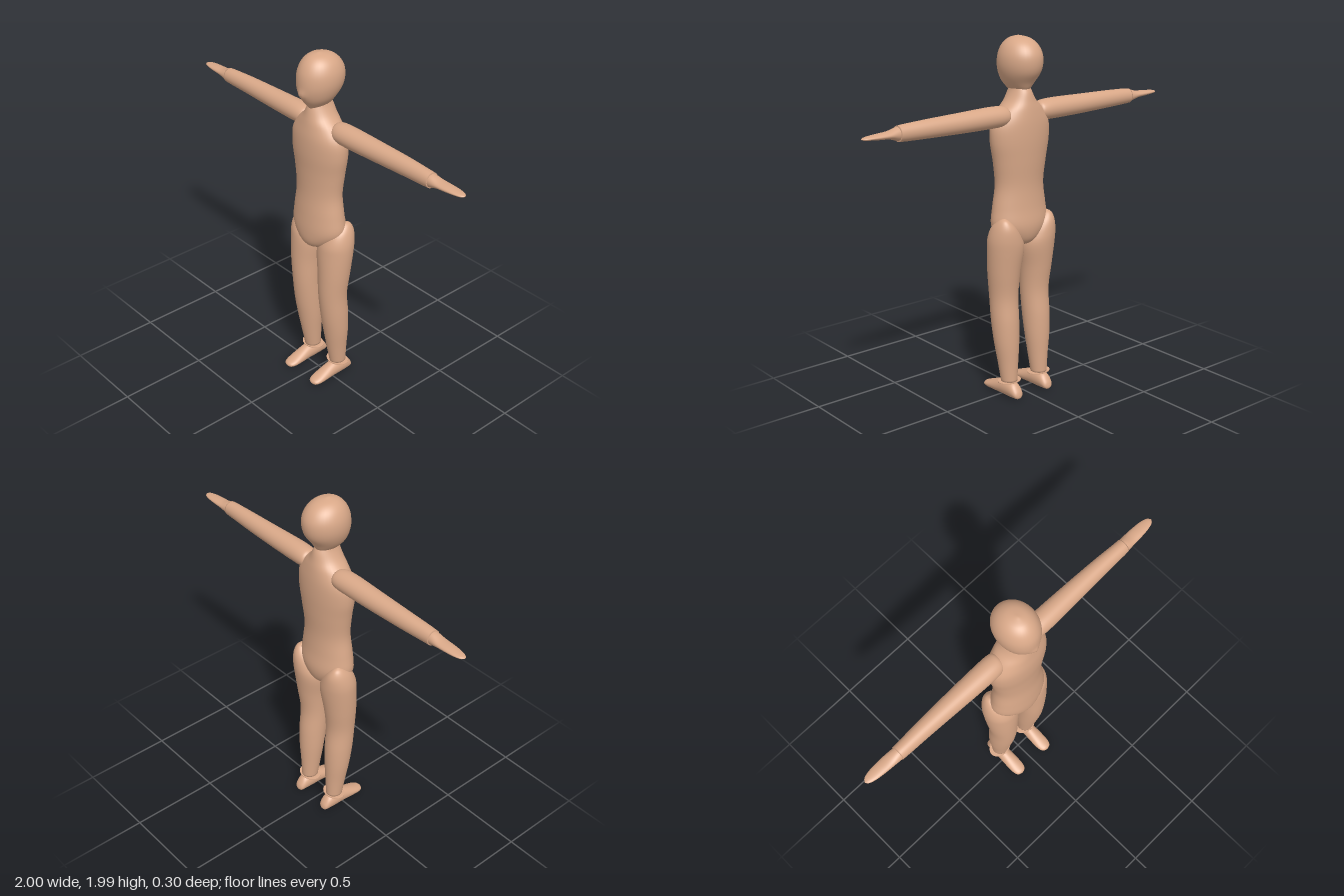
import * as THREE from 'three';

const SEGMENTS = 36, STEPS = 5;

// Catmull-Rom blend of one number
function blend(a, b, c, d, t) {
  return 0.5 * (2 * b + (c - a) * t + (2 * a - 5 * b + 4 * c - d) * t * t + (3 * b - a - 3 * c + d) * t * t * t);
}

// Smooth closed skin through elliptical sections.
// Section: [position on axis, uMin, uMax, vMin, vMax], positions ascending.
// Axis y: u = z, v = x.  Axis x: u = y, v = z.  Axis z: u = x, v = y.
function loft(sections, axis) {
  const place = {
    x: (t, u, v) => [t, u, v],
    y: (t, u, v) => [v, t, u],
    z: (t, u, v) => [u, v, t],
  }[axis];
  const at = (i) => sections[Math.max(0, Math.min(sections.length - 1, i))];
  const rings = [];
  for (let i = 0; i < sections.length - 1; i++) {
    for (let s = 0; s < STEPS; s++) {
      rings.push(at(i).map((n, k) => blend(at(i - 1)[k], n, at(i + 1)[k], at(i + 2)[k], s / STEPS)));
    }
  }
  rings.push(at(sections.length - 1));
  const pos = [], index = [];
  for (const [t, u0, u1, v0, v1] of rings) {
    for (let j = 0; j < SEGMENTS; j++) {
      const a = (j / SEGMENTS) * Math.PI * 2;
      pos.push(...place(t, (u0 + u1) / 2 + ((u1 - u0) / 2) * Math.cos(a), (v0 + v1) / 2 + ((v1 - v0) / 2) * Math.sin(a)));
    }
  }
  for (let i = 0; i < rings.length - 1; i++) {
    for (let j = 0; j < SEGMENTS; j++) {
      const k = (j + 1) % SEGMENTS;
      const a = i * SEGMENTS + j, b = i * SEGMENTS + k, c = b + SEGMENTS, d = a + SEGMENTS;
      index.push(a, b, c, a, c, d);
    }
  }
  // end caps
  [rings[0], rings[rings.length - 1]].forEach(([t, u0, u1, v0, v1], end) => {
    const centre = pos.length / 3;
    pos.push(...place(t, (u0 + u1) / 2, (v0 + v1) / 2));
    const start = end ? (rings.length - 1) * SEGMENTS : 0;
    for (let j = 0; j < SEGMENTS; j++) {
      const a = start + j, b = start + ((j + 1) % SEGMENTS);
      index.push(centre, end ? a : b, end ? b : a);
    }
  });
  const geo = new THREE.BufferGeometry();
  geo.setAttribute('position', new THREE.Float32BufferAttribute(pos, 3));
  geo.setIndex(index);
  geo.computeVertexNormals();
  return geo;
}

// Copy a geometry to the other side, keeping faces outward
function mirrored(source) {
  const geo = source.clone();
  geo.scale(-1, 1, 1);
  const ix = geo.index.array;
  for (let i = 0; i < ix.length; i += 3) [ix[i], ix[i + 1]] = [ix[i + 1], ix[i]];
  geo.computeVertexNormals();
  return geo;
}

export function createModel() {
  const group = new THREE.Group();
  const skin = new THREE.MeshStandardMaterial({ color: 0xd9a888 });
  skin.name = 'skin';

  const add = (name, geo) => {
    const mesh = new THREE.Mesh(geo, skin);
    mesh.name = name;
    group.add(mesh);
  };
  const addPair = (name, geo) => {
    add('left' + name, geo);
    add('right' + name, mirrored(geo));
  };

  // Symmetric section: height, back, front, half width
  const sym = (list) => list.map(([y, back, front, w]) => [y, back, front, -w, w]);

  // Torso with neck
  add('torso', loft(sym([
    [0.86, -0.03, 0.03, 0.01],
    [0.872, -0.075, 0.072, 0.065],
    [0.91, -0.105, 0.097, 0.125],
    [0.98, -0.118, 0.103, 0.175],
    [1.08, -0.108, 0.098, 0.166],
    [1.2, -0.103, 0.09, 0.15],
    [1.33, -0.112, 0.092, 0.165],
    [1.44, -0.118, 0.098, 0.184],
    [1.53, -0.117, 0.096, 0.18],
    [1.6, -0.11, 0.086, 0.135],
    [1.65, -0.1, 0.076, 0.085],
    [1.7, -0.086, 0.062, 0.056],
    [1.74, -0.06, 0.04, 0.045],
  ]), 'y'));

  // Head, tapering to the chin, with a soft nose
  const head = loft(sym([
    [1.688, -0.02, 0.055, 0.015],
    [1.705, -0.07, 0.07, 0.042],
    [1.75, -0.1, 0.102, 0.081],
    [1.8, -0.135, 0.119, 0.104],
    [1.85, -0.148, 0.121, 0.113],
    [1.9, -0.143, 0.112, 0.108],
    [1.945, -0.115, 0.088, 0.087],
    [1.975, -0.07, 0.052, 0.052],
    [1.988, -0.01, 0.005, 0.005],
  ]), 'y');
  const p = head.attributes.position;
  for (let i = 0; i < p.count; i++) {
    if (p.getZ(i) < 0.04) continue;
    const dx = p.getX(i) / 0.025, dy = (p.getY(i) - 1.785) / 0.025;
    p.setZ(i, p.getZ(i) + 0.013 * Math.exp(-dx * dx - dy * dy));
  }
  head.computeVertexNormals();
  add('head', head);

  // Arms, ending at the wrist cuff
  addPair('Arm', loft([
    [0.1, 1.565, 1.595, -0.045, -0.01],
    [0.11, 1.54, 1.622, -0.075, 0.015],
    [0.14, 1.527, 1.634, -0.086, 0.03],
    [0.22, 1.524, 1.638, -0.087, 0.033],
    [0.4, 1.526, 1.634, -0.083, 0.026],
    [0.6, 1.531, 1.629, -0.076, 0.018],
    [0.74, 1.535, 1.623, -0.068, 0.014],
    [0.79, 1.538, 1.619, -0.066, 0.012],
  ], 'x'));

  // Hands
  addPair('Hand', loft([
    [0.77, 1.543, 1.616, -0.063, 0.01],
    [0.8, 1.546, 1.612, -0.063, 0.009],
    [0.845, 1.56, 1.6, -0.065, 0.007],
    [0.9, 1.565, 1.596, -0.064, 0.004],
    [0.95, 1.57, 1.592, -0.06, -0.002],
    [0.985, 1.573, 1.588, -0.05, -0.012],
    [1.0, 1.579, 1.582, -0.034, -0.026],
  ], 'x'));

  // Legs
  addPair('Leg', loft([
    [0.09, -0.097, -0.003, 0.063, 0.152],
    [0.2, -0.099, 0.018, 0.052, 0.164],
    [0.32, -0.102, 0.04, 0.04, 0.18],
    [0.44, -0.099, 0.06, 0.034, 0.187],
    [0.58, -0.088, 0.074, 0.03, 0.189],
    [0.72, -0.103, 0.077, 0.022, 0.203],
    [0.85, -0.121, 0.074, 0.006, 0.212],
    [0.92, -0.124, 0.063, 0.03, 0.211],
    [0.98, -0.116, 0.03, 0.075, 0.197],
    [1.02, -0.093, -0.025, 0.12, 0.175],
    [1.034, -0.065, -0.055, 0.145, 0.152],
  ], 'y'));

  // Thin ankle rims
  const rim = new THREE.CylinderGeometry(1, 1, 0.004, SEGMENTS);
  rim.scale(0.07, 1, 0.054);
  rim.translate(0.106, 0.092, -0.05);
  addPair('AnkleRim', rim);

  // Feet
  addPair('Foot', loft([
    [-0.142, 0.1, 0.116, 0.015, 0.028],
    [-0.132, 0.08, 0.135, 0.005, 0.053],
    [-0.1, 0.071, 0.145, 0.002, 0.088],
    [-0.05, 0.068, 0.148, 0.0, 0.098],
    [0.0, 0.068, 0.148, 0.0, 0.09],
    [0.06, 0.066, 0.15, 0.0, 0.067],
    [0.11, 0.068, 0.148, 0.002, 0.046],
    [0.138, 0.08, 0.137, 0.005, 0.034],
    [0.148, 0.1, 0.117, 0.014, 0.024],
  ], 'z'));

  return group;
}
